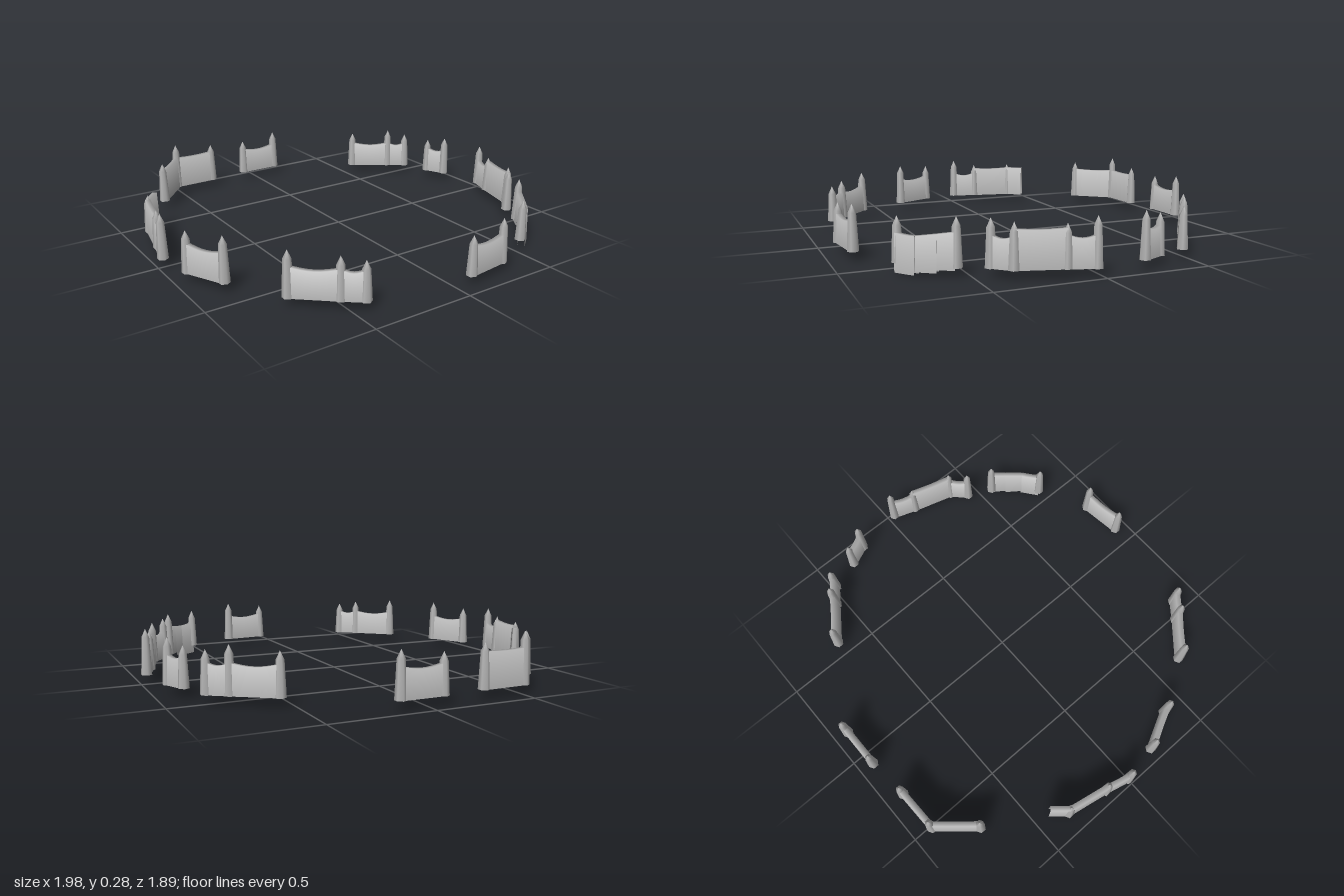
import * as THREE from 'three';

const stone = new THREE.MeshStandardMaterial({ color: 0xb4b4b4, side: THREE.DoubleSide });
stone.name = 'stone grey';

const GROUND = 0.04;

// Six-sided tapered post with a pointed cap, hollow below: x, z and height of the tip
function makePost(x, z, tip) {
  const profile = [[0.027, GROUND], [0.019, tip - 0.04], [0, tip]];
  const geo = new THREE.LatheGeometry(profile.map(([r, y]) => new THREE.Vector2(r, y)), 6);
  const post = new THREE.Mesh(geo, stone);
  post.name = 'post';
  post.position.set(x, 0, z);
  return post;
}

// Cross-section of a wall, one row per corner: side of the wall, top or foot, upward lean of the normal
const SECTION = [
  { side: -1, top: false, lean: 0.1 },
  { side: -1, top: true, lean: 1 },
  { side: 1, top: true, lean: 1 },
  { side: 1, top: false, lean: 0.1 },
];

// Wall panel between two points: a folded sheet open below, soft along its sagging crest
function makeWall([x0, z0], [x1, z1], { top0 = 0.182, top1 = top0, sag = 0.016, bottom = GROUND } = {}) {
  const dx = x1 - x0, dz = z1 - z0;
  const length = Math.hypot(dx, dz);
  const columns = 8;
  const geo = new THREE.PlaneGeometry(length, 1, columns, SECTION.length - 1);
  const p = geo.attributes.position;
  const normal = new THREE.Vector3();
  for (let i = 0; i < p.count; i++) {
    const { side, top, lean } = SECTION[Math.floor(i / (columns + 1))];
    const t = p.getX(i) / length + 0.5;
    const crest = THREE.MathUtils.lerp(top0, top1, t) - sag * Math.sin(Math.PI * t);
    p.setY(i, top ? crest : bottom);
    p.setZ(i, side * (top ? 0.012 : 0.018));
    normal.set(0, lean, side).normalize();
    geo.attributes.normal.setXYZ(i, normal.x, normal.y, normal.z);
  }
  const wall = new THREE.Mesh(geo, stone);
  wall.name = 'wallPanel';
  wall.position.set((x0 + x1) / 2, 0, (z0 + z1) / 2);
  wall.rotation.y = -Math.atan2(dz, dx);
  return wall;
}

const LOW = {};
const HIGH = { top0: 0.21, sag: 0.005 };

// Each run: points [x, z, tip height (0 = no post)] and the panel style between them
const runs = [
  { name: 'backLeftCornerWall', points: [[-0.67, -0.72, 0.25], [-0.515, -0.9, 0.285], [-0.297, -0.905, 0.25]], panels: [HIGH, HIGH] },
  { name: 'backWall', points: [[-0.075, -0.925, 0.23], [0.132, -0.925, 0.255]], panels: [LOW] },
  { name: 'backRightWall', points: [[0.56, -0.67, 0.24], [0.74, -0.545, 0.26], [0.825, -0.485, 0.235]], panels: [LOW, LOW] },
  { name: 'shortSideWall', points: [[0.88, -0.325, 0.23], [0.925, -0.225, 0.255]], panels: [LOW] },
  { name: 'longSideWall', points: [[0.968, 0.03, 0.26], [0.927, 0.147, 0.23], [0.867, 0.357, 0.24], [0.795, 0.43, 0.25]], panels: [LOW, HIGH, LOW] },
  { name: 'frontWall', points: [[0.292, 0.89, 0.255], [0.087, 0.915, 0.23]], panels: [LOW] },
  { name: 'frontCornerWall', points: [[-0.438, 0.848, 0.225], [-0.52, 0.782, 0.24], [-0.687, 0.637, 0.255]], panels: [LOW, LOW] },
  { name: 'sideWall', points: [[-0.845, 0.37, 0.26], [-0.935, 0.187, 0.24]], panels: [LOW] },
  { name: 'brokenSideWall', points: [[-0.97, -0.01, 0.26], [-0.94, -0.135, 0.23], [-0.9, -0.345, 0.23], [-0.835, -0.42, 0]], panels: [LOW, HIGH, { top0: 0.21, sag: 0 }] },
];

export function createModel() {
  const model = new THREE.Group();
  model.name = 'ruinedRingWall';

  for (const { name, points, panels } of runs) {
    const run = new THREE.Group();
    run.name = name;
    for (const [x, z, tip] of points) if (tip) run.add(makePost(x, z, tip));
    panels.forEach((style, i) => run.add(makeWall(points[i], points[i + 1], style)));
    model.add(run);
  }

  // Sunken bent run whose footing steps down toward the front
  const sunken = new THREE.Group();
  sunken.name = 'steppedWall';
  sunken.add(makePost(0.737, 0.557, 0.255), makePost(0.555, 0.757, 0.24));
  const bends = [[0.74, 0.56], [0.695, 0.625], [0.64, 0.7], [0.56, 0.762]];
  const steps = [
    { top0: 0.19, top1: 0.178, sag: 0, bottom: 0.03 },
    { top0: 0.178, top1: 0.165, sag: 0, bottom: 0.015 },
    { top0: 0.165, top1: 0.17, sag: 0.003, bottom: 0 },
  ];
  steps.forEach((s, i) => sunken.add(makeWall(bends[i], bends[i + 1], s)));
  model.add(sunken);

  return model;
}
